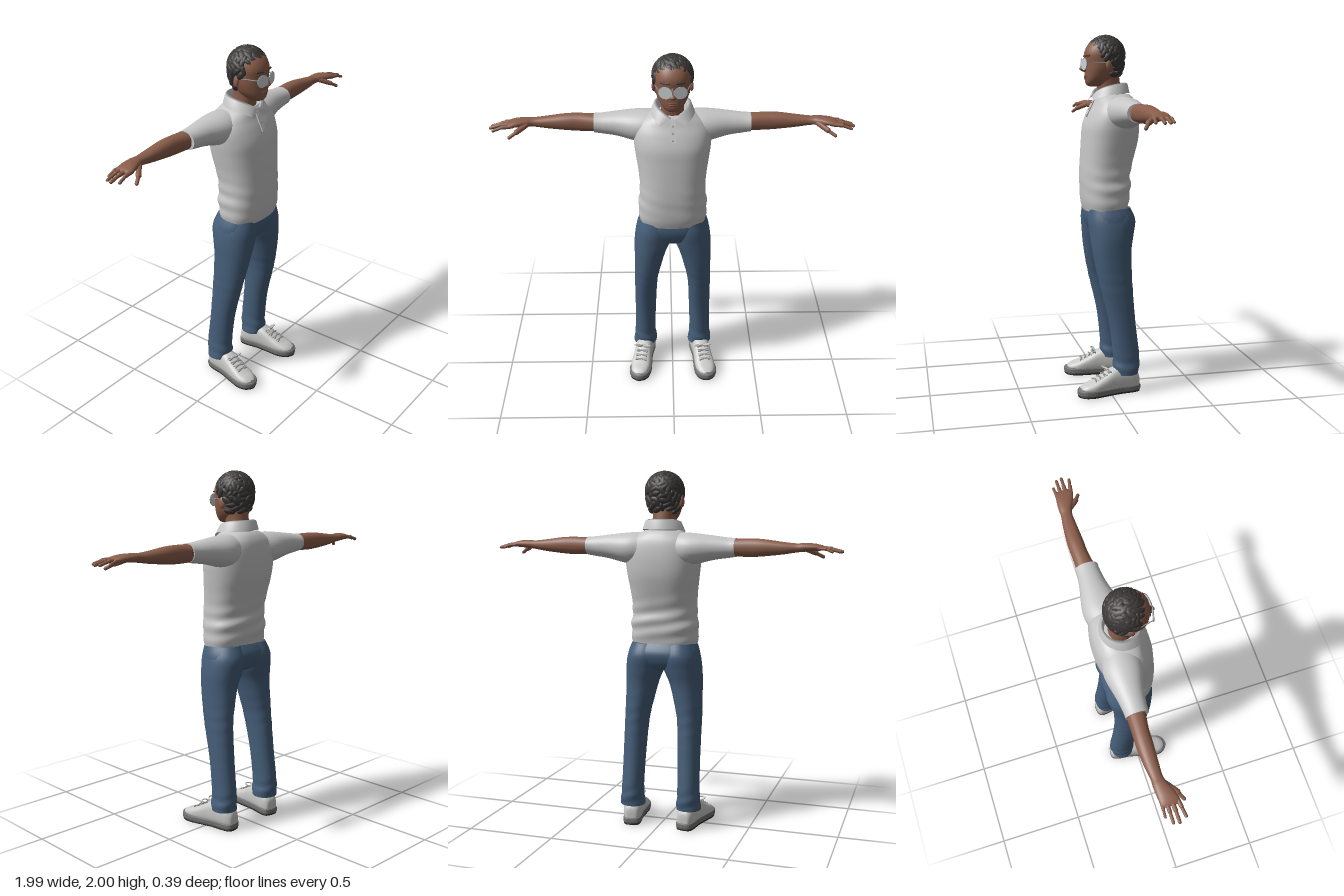
import * as THREE from 'three';

const mat = (name, color, side = THREE.FrontSide) => {
  const m = new THREE.MeshStandardMaterial({ color, side });
  m.name = name;
  return m;
};
const skin = mat('skin', 0x8a5d4a), shirt = mat('shirt', 0xc6c6c6, THREE.DoubleSide);
const denim = mat('denim', 0x465f7a), hair = mat('hair', 0x3c3938);
const shoe = mat('shoe', 0xc9c9c7), sole = mat('sole', 0x737373), tread = mat('tread', 0x302f30);
const lens = mat('lens', 0xced2d4), lip = mat('lip', 0x70453a), metal = mat('metal', 0x8e8e8e);

function add(parent, name, geo, material, pos = [0, 0, 0], rot = [0, 0, 0], scale = [1, 1, 1]) {
  const m = new THREE.Mesh(geo, material);
  m.name = name;
  m.position.set(...pos);
  m.rotation.set(...rot);
  m.scale.set(...scale);
  parent.add(m);
  return m;
}

// Smooth skin through rings [y, centreX, radiusX, zFront, zBack], y ascending
function loft(rings, { pow = 2.2, seg = 32, steps = 5, ripple = () => 0 } = {}) {
  const rows = [], last = rings.length - 1, at = i => rings[Math.max(0, Math.min(last, i))];
  for (let k = 0; k <= last * steps; k++) {
    const i = Math.min(Math.floor(k / steps), last - 1), t = k / steps - i;
    const [p, q, r, s] = [at(i - 1), at(i), at(i + 1), at(i + 2)];
    rows.push(q.map((b, j) => 0.5 * (2 * b + (r[j] - p[j]) * t + (2 * p[j] - 5 * b + 4 * r[j] - s[j]) * t * t
      + (3 * b - p[j] - 3 * r[j] + s[j]) * t * t * t)));
  }
  const pos = [], idx = [], se = v => Math.sign(v) * Math.abs(v) ** (2 / pow);
  const ring = ([y, cx, rx, zf, zb]) => {
    for (let n = 0; n < seg; n++) {
      const a = n / seg * Math.PI * 2, w = 1 + ripple(a, y);
      pos.push(cx + rx * w * se(Math.cos(a)), y, (zf + zb) / 2 + (zf - zb) / 2 * w * se(Math.sin(a)));
    }
  };
  rows.forEach(ring);
  for (let k = 0; k < rows.length - 1; k++) for (let n = 0; n < seg; n++) {
    const a = k * seg + n, b = k * seg + (n + 1) % seg;
    idx.push(a, a + seg, b, b, a + seg, b + seg);
  }
  // Flat end caps
  [rows[0], rows[rows.length - 1]].forEach((r, end) => {
    const o = pos.length / 3;
    ring(r);
    pos.push(r[1], r[0], (r[3] + r[4]) / 2);
    for (let n = 0; n < seg; n++) {
      const a = o + n, b = o + (n + 1) % seg;
      idx.push(o + seg, end ? b : a, end ? a : b);
    }
  });
  const g = new THREE.BufferGeometry();
  g.setAttribute('position', new THREE.Float32BufferAttribute(pos, 3));
  g.setIndex(idx);
  g.computeVertexNormals();
  return g;
}

// Rounded rod between two points
function rod(parent, name, a, b, r, material) {
  const A = new THREE.Vector3(...a), B = new THREE.Vector3(...b), d = B.clone().sub(A);
  const m = add(parent, name, new THREE.CapsuleGeometry(r, d.length(), 4, 10), material);
  m.position.copy(A).add(B).multiplyScalar(0.5);
  m.quaternion.setFromUnitVectors(new THREE.Vector3(0, 1, 0), d.normalize());
}

function buildShirt(g) {
  add(g, 'shirtBody', loft([
    [1.03, 0, 0.183, 0.113, -0.125], [1.08, 0, 0.19, 0.125, -0.135], [1.16, 0, 0.189, 0.13, -0.145],
    [1.23, 0, 0.182, 0.132, -0.143], [1.32, 0, 0.186, 0.127, -0.162], [1.42, 0, 0.2, 0.12, -0.186],
    [1.5, 0, 0.21, 0.112, -0.192], [1.57, 0, 0.21, 0.087, -0.188], [1.62, 0, 0.185, 0.062, -0.178],
    [1.655, 0, 0.135, 0.048, -0.16], [1.675, 0, 0.095, 0.035, -0.14]],
  { pow: 2.4, seg: 48, steps: 7,
    // Soft folds gathering around the waist, deeper at the back
    ripple: (a, y) => 0.018 * Math.exp(-(((y - 1.17) / 0.1) ** 2)) * (1 - 0.8 * Math.sin(a)) * Math.sin(y * 75 + 3 * Math.cos(a)) }), shirt);

  // Folded collar, open at the throat
  const pos = [], idx = [], N = 40;
  for (let i = 0; i <= N; i++) {
    const u = i / N * 2 - 1, a = u * Math.PI * 0.96, f = Math.abs(u) ** 3, wing = Math.abs(u) ** 6;
    const put = (rx, rz, y) => pos.push(Math.sin(a) * rx, y, -0.035 - Math.cos(a) * rz);
    put(0.082, 0.085, 1.665);
    put(0.084, 0.09, 1.738 - 0.065 * f);
    put(0.1, 0.1, 1.732 - 0.065 * f);
    pos.push(Math.sin(a) * 0.118 + Math.sign(u) * 0.055 * wing, 1.682 - 0.05 * f, -0.035 - Math.cos(a) * 0.112);
  }
  for (let i = 0; i < N; i++) for (let j = 0; j < 3; j++) {
    const p = i * 4 + j;
    idx.push(p, p + 1, p + 4, p + 1, p + 5, p + 4);
  }
  const c = new THREE.BufferGeometry();
  c.setAttribute('position', new THREE.Float32BufferAttribute(pos, 3));
  c.setIndex(idx);
  c.computeVertexNormals();
  add(g, 'collar', c, shirt);

  add(g, 'placket', new THREE.BoxGeometry(0.03, 0.11, 0.008), shirt, [0, 1.6, 0.074], [-0.45, 0, 0]);
  for (const [y, z] of [[1.63, 0.066], [1.595, 0.081], [1.56, 0.096]])
    add(g, 'button', new THREE.SphereGeometry(0.005, 8, 6), metal, [0, y, z]);
}

function buildArm(g, s) {
  // Rings along the arm: [x, yCentre, halfHeight, zFront, zBack]
  const along = (rings, o) => loft(rings.map(([x, y, h, f, b]) => [x, -s * y, h, f, b]), o).rotateZ(-s * Math.PI / 2);
  add(g, 'sleeve', along([[0.08, 1.575, 0.088, 0.02, -0.165], [0.15, 1.575, 0.089, 0.025, -0.182],
    [0.21, 1.578, 0.082, 0.015, -0.18], [0.3, 1.584, 0.066, -0.012, -0.162], [0.38, 1.585, 0.055, -0.025, -0.15],
    [0.425, 1.587, 0.05, -0.027, -0.149]], { pow: 2.1 }), shirt);
  add(g, 'arm', along([[0.4, 1.587, 0.046, -0.04, -0.142], [0.5, 1.587, 0.049, -0.055, -0.143],
    [0.58, 1.588, 0.045, -0.058, -0.145], [0.68, 1.587, 0.033, -0.064, -0.138], [0.75, 1.589, 0.024, -0.067, -0.129],
    [0.79, 1.592, 0.023, -0.055, -0.13], [0.84, 1.593, 0.02, -0.035, -0.127], [0.88, 1.59, 0.014, -0.026, -0.122],
    [0.9, 1.588, 0.006, -0.035, -0.11]], { seg: 24 }), skin);
  // Fingers: base z, tip x, tip z, thickness
  for (const [z0, x1, z1, r] of [[-0.115, 0.94, -0.118, 0.008], [-0.091, 0.977, -0.09, 0.0095],
    [-0.065, 0.984, -0.06, 0.01], [-0.038, 0.965, -0.022, 0.0095]]) {
    const xm = (0.87 + x1) / 2, zm = (z0 + z1) / 2;
    rod(g, 'finger', [s * 0.865, 1.588, z0], [s * xm, 1.586, zm], r * 1.12, skin);
    rod(g, 'fingerTip', [s * xm, 1.586, zm], [s * x1, 1.571, z1], r * 0.88, skin);
  }
  rod(g, 'thumb', [s * 0.79, 1.585, -0.065], [s * 0.84, 1.562, -0.022], 0.0145, skin);
  rod(g, 'thumbTip', [s * 0.84, 1.562, -0.022], [s * 0.878, 1.54, 0], 0.0095, skin);
}

function buildLeg(g, s) {
  add(g, 'trouserLeg', loft([
    [0.11, s * 0.167, 0.07, -0.025, -0.163], [0.15, s * 0.167, 0.067, -0.018, -0.168], [0.22, s * 0.166, 0.061, -0.018, -0.168],
    [0.4, s * 0.162, 0.062, 0.003, -0.147], [0.6, s * 0.156, 0.067, 0.05, -0.131], [0.72, s * 0.143, 0.078, 0.076, -0.128],
    [0.82, s * 0.129, 0.091, 0.092, -0.13], [0.9, s * 0.112, 0.106, 0.101, -0.145], [0.98, s * 0.1, 0.106, 0.108, -0.157],
    [1.05, s * 0.095, 0.085, 0.1, -0.13]],
  { pow: 2.15, steps: 8,
    // Creases at the ankle and knee
    ripple: (a, y) => (0.03 * Math.exp(-(((y - 0.16) / 0.07) ** 2)) + 0.012 * Math.exp(-(((y - 0.58) / 0.12) ** 2)))
      * Math.sin(y * 85 + 2 * Math.cos(a)) }), denim);

  const foot = new THREE.Group();
  foot.name = 'foot';
  foot.position.set(s * 0.18, 0, 0);
  foot.rotation.y = s * 0.16;
  g.add(foot);
  // Footprint slabs
  const half = [[0.035, -0.16], [0.045, -0.12], [0.043, -0.04], [0.054, 0.06], [0.058, 0.115], [0.043, 0.165]];
  const outline = [[0, -0.168], ...half, [0, 0.189], ...half.slice().reverse().map(([x, z]) => [-x, z])];
  const curve = new THREE.SplineCurve([...outline, outline[0]].map(p => new THREE.Vector2(...p)));
  const slab = (depth, bevel) => new THREE.ExtrudeGeometry(new THREE.Shape(curve.getPoints(56).slice(0, -1)),
    { depth, bevelEnabled: true, bevelThickness: bevel, bevelSize: bevel, bevelSegments: 2 })
    .rotateX(Math.PI / 2).translate(0, depth + bevel, 0);
  add(foot, 'treadPlate', slab(0.005, 0.004), tread);
  add(foot, 'sole', slab(0.018, 0.008), sole, [0, 0.01, 0]);
  add(foot, 'toeCap', new THREE.SphereGeometry(0.05, 20, 12), sole, [0, 0.036, 0.146], [0, 0, 0], [0.95, 0.45, 0.9]);
  add(foot, 'shoeUpper', loft([[-0.17, 0, 0.015, -0.02, -0.075], [-0.163, 0, 0.036, -0.015, -0.105],
    [-0.13, 0, 0.05, -0.01, -0.138], [-0.06, 0, 0.052, -0.01, -0.152], [-0.01, 0, 0.052, -0.01, -0.145],
    [0.05, 0, 0.056, -0.01, -0.112], [0.11, 0, 0.058, -0.01, -0.083], [0.155, 0, 0.046, -0.012, -0.066],
    [0.18, 0, 0.024, -0.02, -0.05]], { pow: 2.6 }).rotateX(Math.PI / 2), shoe);
  // Laces and bow
  for (const [z, y] of [[0.015, 0.135], [0.04, 0.121], [0.065, 0.107], [0.09, 0.095]])
    for (const d of [-1, 1]) rod(foot, 'lace', [-d * 0.03, y - 0.006, z - 0.008], [d * 0.03, y - 0.006, z + 0.008], 0.0045, metal);
  for (const d of [-1, 1])
    add(foot, 'laceBow', new THREE.TorusGeometry(0.018, 0.004, 6, 16), shoe, [d * 0.026, 0.14, 0.02], [1.1, 0, d * 0.4], [1.3, 0.8, 1]);
}

function buildHead(g) {
  add(g, 'neck', loft([[1.6, 0, 0.06, 0.02, -0.11], [1.68, 0, 0.062, 0.03, -0.1], [1.74, 0, 0.06, 0.035, -0.092],
    [1.79, 0, 0.065, 0.04, -0.085]]), skin);
  add(g, 'head', loft([[1.716, 0, 0.015, 0.07, 0.02], [1.722, 0, 0.038, 0.09, -0.01], [1.742, 0, 0.057, 0.102, -0.04],
    [1.77, 0, 0.076, 0.104, -0.07], [1.81, 0, 0.09, 0.104, -0.09], [1.85, 0, 0.095, 0.104, -0.105],
    [1.9, 0, 0.096, 0.106, -0.108], [1.95, 0, 0.082, 0.08, -0.1], [1.98, 0, 0.045, 0.035, -0.06]]), skin);
  // Nose, mouth, ears, brows
  add(g, 'nose', loft([[1.797, 0, 0.01, 0.112, 0.09], [1.804, 0, 0.019, 0.128, 0.09], [1.815, 0, 0.018, 0.136, 0.09],
    [1.835, 0, 0.011, 0.123, 0.09], [1.86, 0, 0.009, 0.11, 0.09]], { seg: 16 }), skin);
  for (const [y, h] of [[1.773, 0.005], [1.765, 0.006]])
    add(g, 'lips', new THREE.SphereGeometry(1, 16, 8), lip, [0, y, 0.099], [0, 0, 0], [0.028, h, 0.01]);
  for (const s of [-1, 1]) {
    add(g, 'ear', new THREE.SphereGeometry(1, 14, 10), skin, [s * 0.098, 1.828, -0.012], [0.15, s * 0.3, 0], [0.011, 0.031, 0.02]);
    rod(g, 'eyebrow', [s * 0.02, 1.883, 0.105], [s * 0.06, 1.884, 0.093], 0.005, hair);
    // Spectacles
    const at = [s * 0.039, 1.838, 0.116], turn = [0, s * 0.22, 0];
    add(g, 'lens', new THREE.CylinderGeometry(0.034, 0.034, 0.006, 28).rotateX(Math.PI / 2), lens, at, turn, [1.04, 0.94, 1]);
    add(g, 'lensRim', new THREE.TorusGeometry(0.034, 0.0025, 6, 28), metal, at, turn, [1.04, 0.94, 1]);
    rod(g, 'templeArm', [s * 0.074, 1.848, 0.107], [s * 0.101, 1.846, -0.015], 0.0028, metal);
  }
  rod(g, 'bridge', [-0.01, 1.85, 0.122], [0.01, 1.85, 0.122], 0.0028, metal);

  // Hair: a cap covered in tousled clumps
  add(g, 'hairCap', new THREE.SphereGeometry(1, 28, 20), hair, [0, 1.88, -0.028], [0, 0, 0], [0.101, 0.108, 0.088]);
  let seed = 7;
  const rnd = () => (seed = (seed * 16807) % 2147483647) / 2147483647;
  const clump = new THREE.SphereGeometry(1, 10, 8), count = 210;
  for (let i = 0; i < count; i++) {
    const h = 1 - 2 * (i + 0.5) / count, r = Math.sqrt(1 - h * h), a = i * 2.39996;
    const n = new THREE.Vector3(r * Math.cos(a), h, r * Math.sin(a));
    const p = [n.x * 0.1, 1.888 + n.y * (h > 0 ? 0.099 : 0.17), -0.012 + n.z * 0.1];
    const roll = rnd() * 2 - 1, size = 0.85 + rnd() * 0.35;
    if (p[1] < (p[2] > 0.03 ? 1.922 : p[2] > -0.035 ? 1.862 : 1.78)) continue;
    const m = add(g, 'hairClump', clump, hair, p, [0, 0, 0], [0.016 * size, 0.03 * size, 0.012]);
    m.quaternion.setFromUnitVectors(new THREE.Vector3(0, 0, 1), n);
    m.rotateZ(roll);
  }
}

export function createModel() {
  const model = new THREE.Group();
  model.name = 'standingMan';
  const part = (name, build, s) => {
    const g = new THREE.Group();
    g.name = name;
    build(g, s);
    model.add(g);
  };
  part('poloShirt', buildShirt);
  part('hips', g => add(g, 'trouserSeat', loft([[0.895, 0, 0.05, 0.04, -0.09], [0.915, 0, 0.13, 0.08, -0.125],
    [0.95, 0, 0.2, 0.1, -0.147], [1.0, 0, 0.203, 0.112, -0.155], [1.06, 0, 0.18, 0.108, -0.124]], { pow: 2.4 }), denim));
  part('head', buildHead);
  for (const [side, s] of [['left', 1], ['right', -1]]) {
    part(side + 'Arm', buildArm, s);
    part(side + 'Leg', buildLeg, s);
  }
  return model;
}
